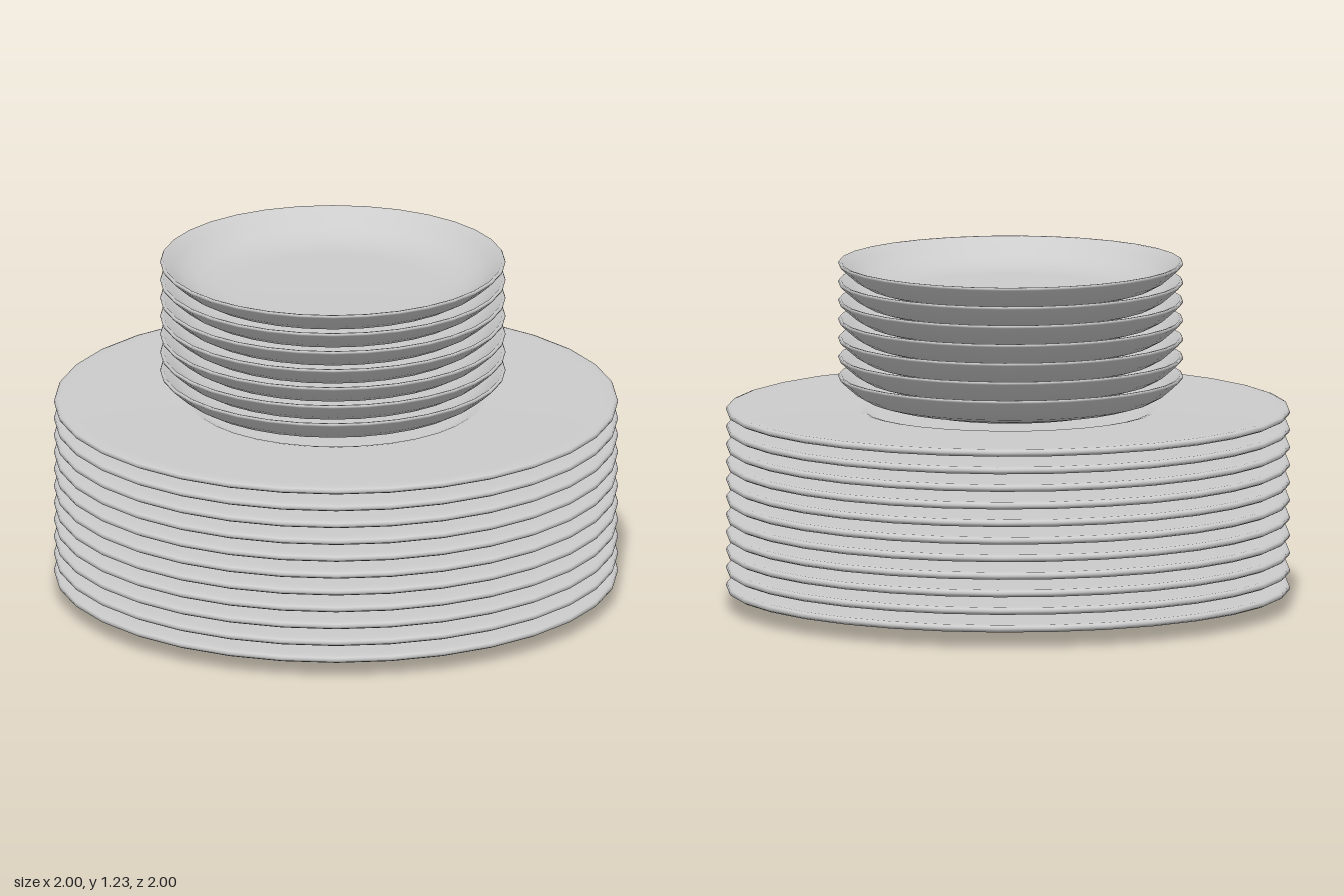
import * as THREE from 'three';

const material = new THREE.MeshStandardMaterial({ color: 0xcccccc, side: THREE.DoubleSide });

// Closed dish profile, from the centre of the underside round the lip to the centre of the top
function dishGeometry(points) {
  return new THREE.LatheGeometry(points.map(([r, y]) => new THREE.Vector2(r, y)), 32);
}

// Repeats one dish upwards at an even spacing
function stack(name, geometry, count, spacing) {
  const group = new THREE.Group();
  group.name = name + 'Stack';
  for (let i = 0; i < count; i++) {
    const dish = new THREE.Mesh(geometry, material);
    dish.name = name + (i + 1);
    dish.position.y = i * spacing;
    group.add(dish);
  }
  return group;
}

export function createModel() {
  const model = new THREE.Group();
  model.name = 'stackedDishes';

  // Wide dinner plates: flat base, short wall, broad flat rim with a rounded lip
  const plate = dishGeometry([
    [0, 0], [0.47, 0], [0.485, 0.002], [0.492, 0.008], [0.496, 0.032], [0.503, 0.042], [0.52, 0.046],
    [0.75, 0.047], [0.95, 0.053], [0.985, 0.056], [0.997, 0.062], [1, 0.07], [0.997, 0.078], [0.985, 0.082],
    [0.95, 0.082], [0.53, 0.078], [0.51, 0.074], [0.49, 0.064], [0.46, 0.06], [0, 0.06],
  ]);
  model.add(stack('dinnerPlate', plate, 11, 0.063));

  // Smaller shallow bowls: curved sides flaring to a thin lip
  const bowl = dishGeometry([
    [0, 0], [0.34, 0], [0.37, 0.008], [0.45, 0.021], [0.51, 0.038], [0.55, 0.06], [0.585, 0.09],
    [0.609, 0.112], [0.612, 0.118], [0.609, 0.123], [0.6, 0.122],
    [0.57, 0.095], [0.53, 0.066], [0.48, 0.044], [0.42, 0.031], [0.35, 0.026], [0, 0.026],
  ]);
  const bowls = stack('bowl', bowl, 7, 0.0675);
  bowls.position.set(0, 0.703, 0.016);
  model.add(bowls);

  return model;
}
